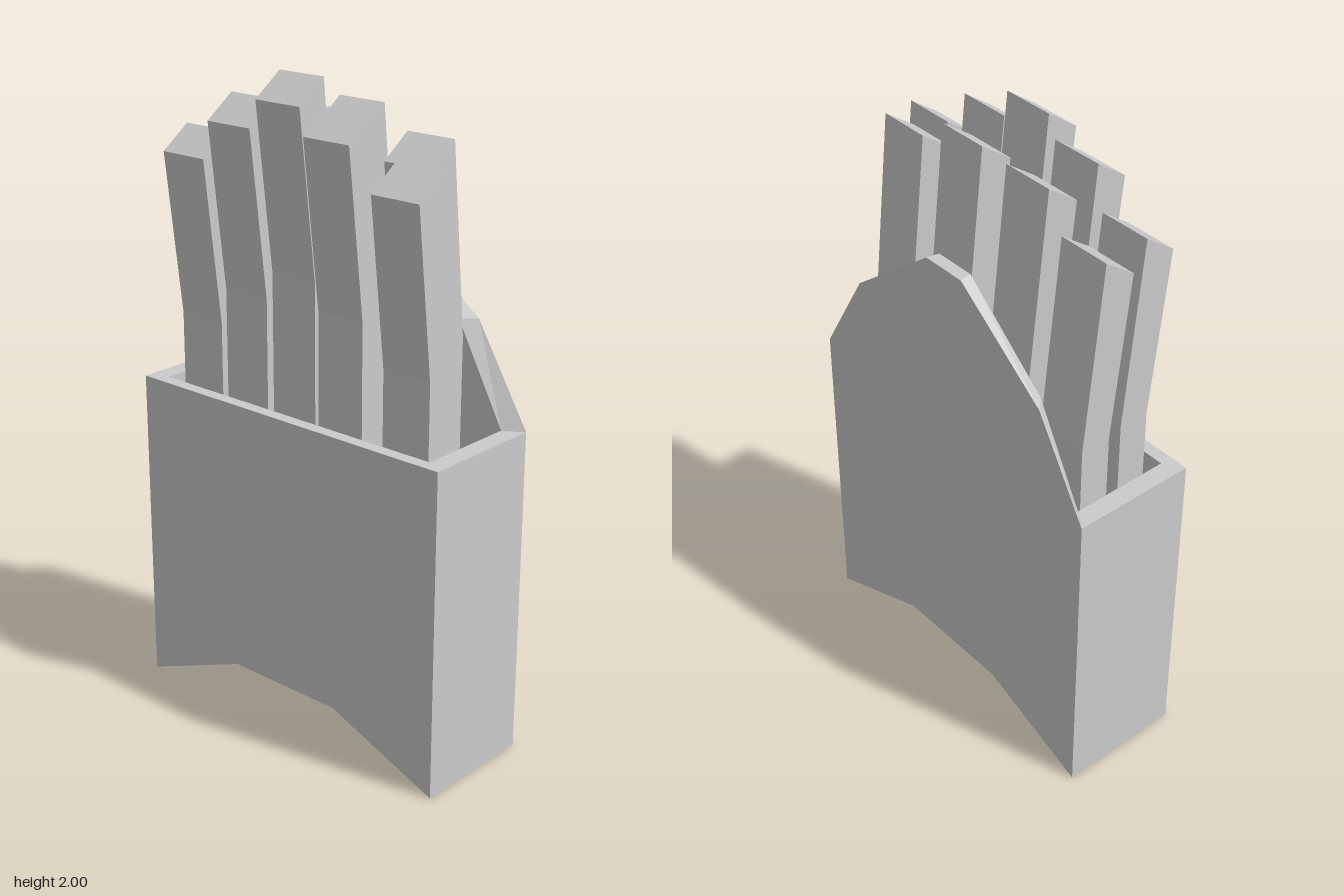
import * as THREE from 'three';

const mat = new THREE.MeshStandardMaterial({ color: 0xcccccc, flatShading: true });

function outline(points) {
  return new THREE.Shape(points.map(([x, y]) => new THREE.Vector2(x, y)));
}

function addMesh(parent, geometry, name) {
  const flat = geometry.index ? geometry.toNonIndexed() : geometry;
  flat.computeVertexNormals();
  const mesh = new THREE.Mesh(flat, mat);
  mesh.name = name;
  parent.add(mesh);
  return mesh;
}

// A square stick in three segments: lower part leans back, middle is upright,
// upper part leans forward and ends in a slanted cut.
function stickGeometry(x, top, z) {
  const geo = new THREE.BoxGeometry(0.167, 3, 0.098, 1, 3, 1);
  const heights = [0.18, top - 1.15, top - 0.58, top - 0.035];
  const shifts = [-0.045, 0, 0, 0.06];
  const p = geo.attributes.position;
  for (let i = 0; i < p.count; i++) {
    const level = Math.round(p.getY(i) + 1.5);
    const slant = level === 3 ? -Math.sign(p.getZ(i)) * 0.035 : 0;
    p.setXYZ(i, p.getX(i) + x, heights[level] + slant, p.getZ(i) + z + shifts[level]);
  }
  return geo;
}

export function createModel() {
  const model = new THREE.Group();
  model.name = 'cartonOfFries';

  const carton = new THREE.Group();
  carton.name = 'carton';
  model.add(carton);

  // Base with the notched underside
  const base = new THREE.ExtrudeGeometry(
    outline([[-0.58, 0], [-0.2, 0.15], [0.2, 0.15], [0.58, 0], [0.58, 0.2], [-0.58, 0.2]]),
    { depth: 0.4, bevelEnabled: false });
  base.translate(0, 0, -0.2);
  addMesh(carton, base, 'base');

  // Four walls around the cavity
  const rim = outline([[-0.58, -0.2], [0.58, -0.2], [0.58, 0.2], [-0.58, 0.2]]);
  rim.holes.push(outline([[-0.52, -0.16], [-0.52, 0.16], [0.52, 0.16], [0.52, -0.16]]));
  const walls = new THREE.ExtrudeGeometry(rim, { depth: 0.82, bevelEnabled: false });
  walls.rotateX(-Math.PI / 2).translate(0, 0.2, 0);
  addMesh(carton, walls, 'walls');

  // Raised back panel, narrowing towards its inner face
  const flap = new THREE.ExtrudeGeometry(
    outline([[-0.58, 1.02], [0.58, 1.02], [0.4, 1.32], [0.075, 1.57], [-0.075, 1.57], [-0.4, 1.32]]),
    { depth: 0.04, bevelEnabled: false });
  const p = flap.attributes.position;
  for (let i = 0; i < p.count; i++) {
    if (p.getZ(i) > 0.02) p.setX(i, p.getX(i) * 0.9);
  }
  flap.translate(0, 0, -0.2);
  addMesh(carton, flap, 'backPanel');

  // Fries: [x, top height, z of the upright middle]
  const rows = {
    frontFry: [[-0.42, 1.8, 0.055], [-0.212, 1.92, 0.073], [-0.038, 2, 0.055], [0.142, 1.92, 0.055], [0.387, 1.8, 0.055]],
    backFry: [[-0.437, 1.8, -0.103], [-0.212, 1.91, -0.097], [0.052, 1.92, -0.097], [0.298, 1.85, -0.103]],
  };
  for (const [name, fries] of Object.entries(rows)) {
    fries.forEach(([x, top, z], i) => addMesh(model, stickGeometry(x, top, z), `${name}${i + 1}`));
  }

  return model;
}
